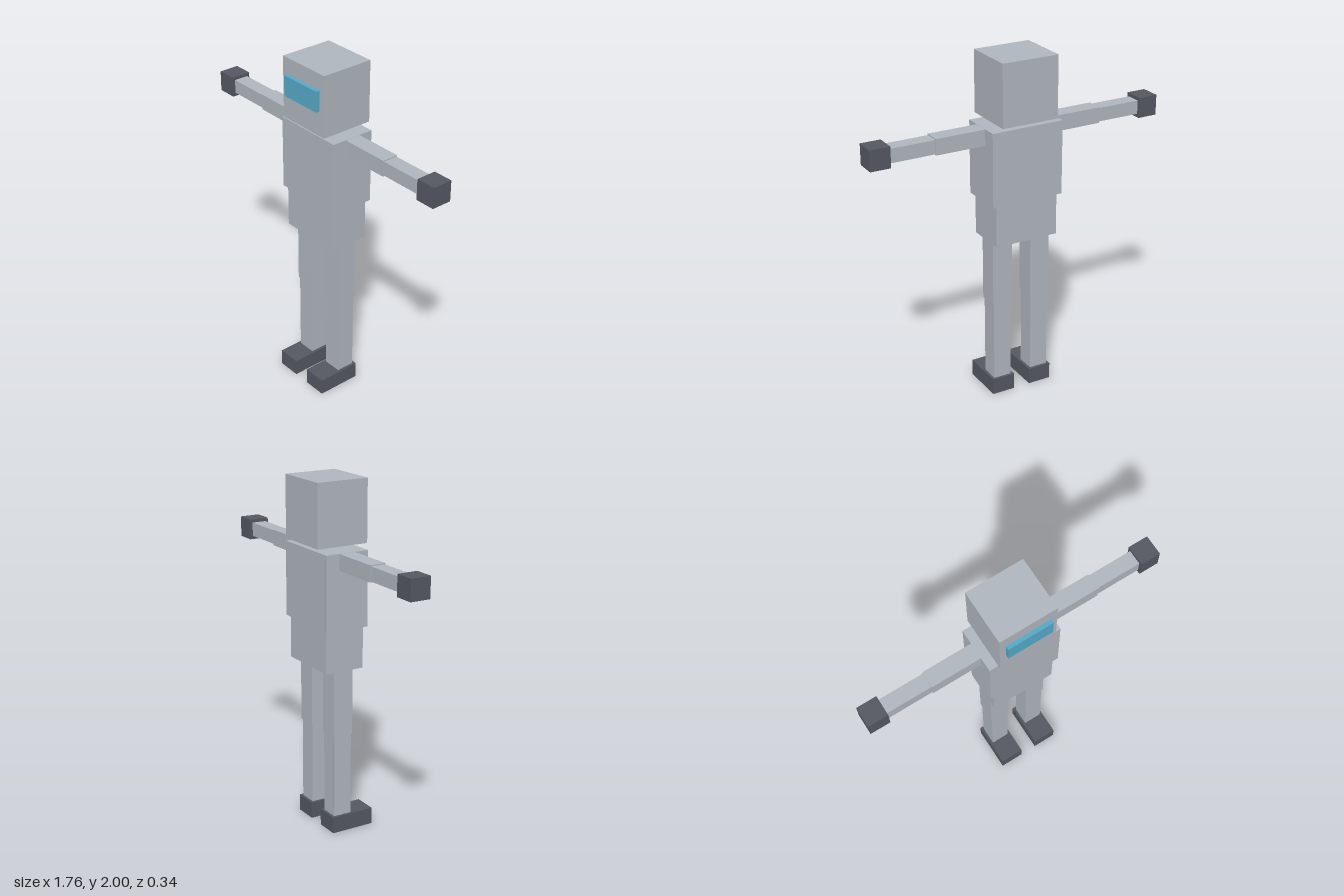
import * as THREE from 'three';

export function createModel() {
  const model = new THREE.Group();
  model.name = 'blockRobot';

  const material = (name, color) => {
    const m = new THREE.MeshStandardMaterial({ color });
    m.name = name;
    return m;
  };
  const grey = material('light grey', 0xb0b6be);
  const dark = material('dark grey', 0x555862);
  const blue = material('visor blue', 0x54a9c7);

  // Box given by its limits on each axis
  const box = (name, mat, [x0, x1], [y0, y1], [z0, z1]) => {
    const mesh = new THREE.Mesh(new THREE.BoxGeometry(x1 - x0, y1 - y0, z1 - z0), mat);
    mesh.position.set((x0 + x1) / 2, (y0 + y1) / 2, (z0 + z1) / 2);
    mesh.name = name;
    model.add(mesh);
  };
  // Mirrored pair of boxes, given for the left (+x) side
  const pair = (name, mat, [x0, x1], y, z) => {
    box(name + 'Left', mat, [x0, x1], y, z);
    box(name + 'Right', mat, [-x1, -x0], y, z);
  };

  // Head and visor
  box('head', grey, [-0.167, 0.167], [1.648, 2], [-0.172, 0.138]);
  box('visor', blue, [-0.131, 0.131], [1.79, 1.908], [0.13, 0.161]);

  // Torso
  box('chest', grey, [-0.214, 0.214], [1.198, 1.622], [-0.147, 0.113]);
  box('hips', grey, [-0.189, 0.189], [0.957, 1.198], [-0.135, 0.101]);

  // Arms held straight out
  pair('upperArm', grey, [0.2, 0.503], [1.53, 1.621], [-0.065, 0.03]);
  pair('forearm', grey, [0.503, 0.765], [1.536, 1.615], [-0.06, 0.025]);
  pair('hand', dark, [0.764, 0.88], [1.516, 1.634], [-0.076, 0.042]);

  // Legs and feet
  pair('thigh', grey, [0.059, 0.179], [0.575, 0.957], [-0.076, 0.042]);
  pair('shin', grey, [0.065, 0.173], [0.095, 0.575], [-0.071, 0.037]);
  pair('foot', dark, [0.05, 0.188], [0, 0.096], [-0.086, 0.172]);

  return model;
}
